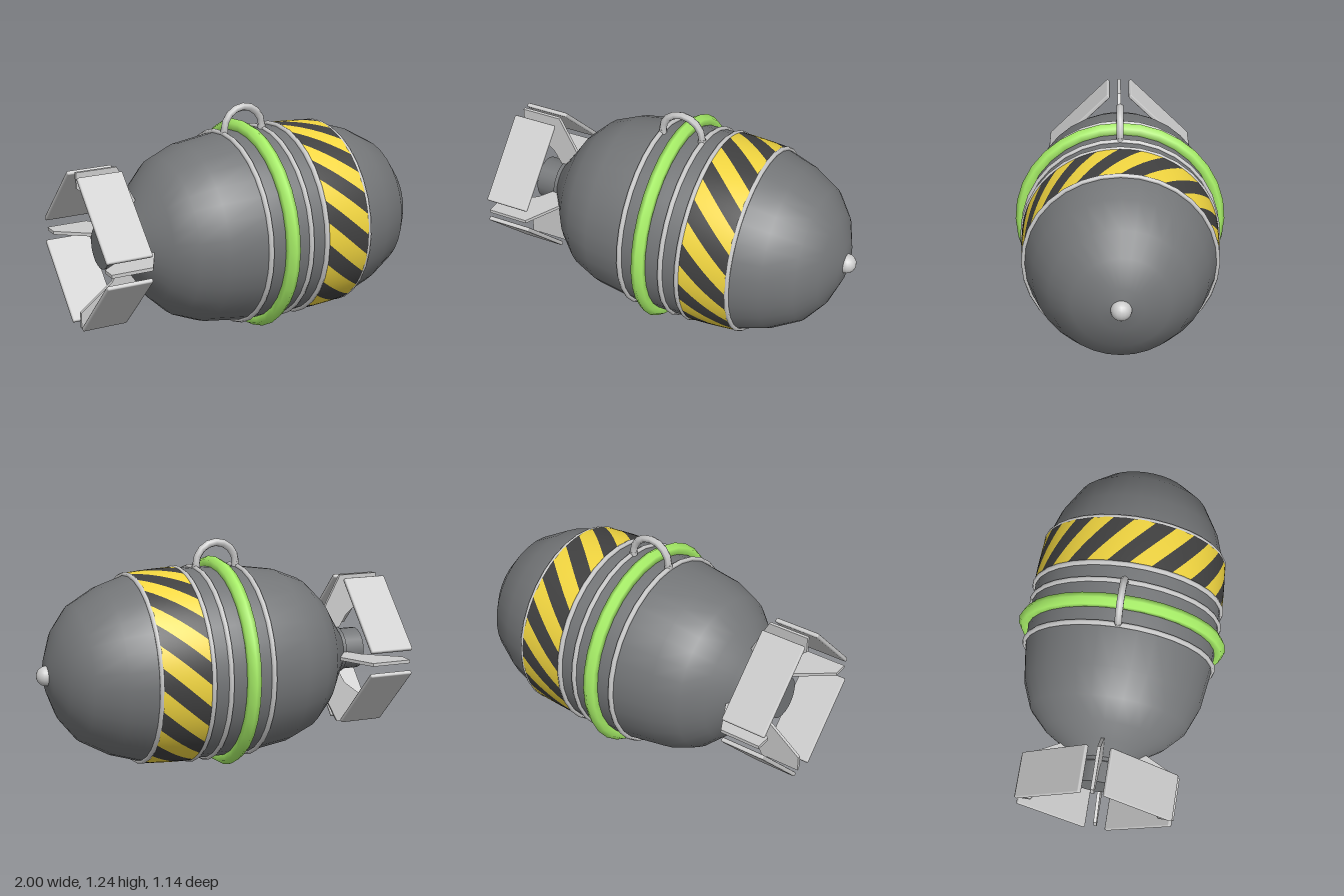
import * as THREE from 'three';
import { mergeGeometries } from 'three/addons/utils/BufferGeometryUtils.js';
import { RoundedBoxGeometry } from 'three/addons/geometries/RoundedBoxGeometry.js';
import { ParametricGeometry } from 'three/addons/geometries/ParametricGeometry.js';

const AXIS_Y = 0.573;
const SIDES = 32;

export function createModel() {
  const model = new THREE.Group();
  const bomb = new THREE.Group();
  bomb.name = 'bomb';
  bomb.position.y = AXIS_Y;
  model.add(bomb);

  const grey = new THREE.MeshStandardMaterial({ color: 0xcccccc });
  const shell = new THREE.MeshStandardMaterial({ color: 0x747678 });
  const green = new THREE.MeshStandardMaterial({ color: 0xa8f068 });
  const yellow = new THREE.MeshStandardMaterial({ color: 0xf2d640, side: THREE.DoubleSide });
  const black = new THREE.MeshStandardMaterial({ color: 0x404040, side: THREE.DoubleSide });

  const add = (name, geometry, material, parent = bomb) => {
    const mesh = new THREE.Mesh(geometry, material);
    mesh.name = name;
    parent.add(mesh);
    return mesh;
  };

  // Egg-shaped body, turned about the x axis: [x, radius] from tail to nose
  const profile = [
    [-0.73, 0.125], [-0.66, 0.225], [-0.59, 0.33], [-0.49, 0.425], [-0.35, 0.482],
    [-0.13, 0.514], [0.05, 0.519], [0.21, 0.517], [0.34, 0.513], [0.48, 0.499],
    [0.635, 0.45], [0.79, 0.363], [0.88, 0.25], [0.935, 0.115], [0.95, 0],
  ].map(([x, r]) => new THREE.Vector2(r, x));
  add('body', new THREE.LatheGeometry(profile, SIDES).rotateZ(-Math.PI / 2), shell);

  // Nose button
  add('noseButton', new THREE.SphereGeometry(0.053, 16, 12), grey).position.x = 0.945;

  // Tail stub with a collar
  add('tailStub', new THREE.CylinderGeometry(0.115, 0.115, 0.16, 20).rotateZ(Math.PI / 2), shell).position.x = -0.78;
  add('tailCollar', new THREE.CylinderGeometry(0.13, 0.13, 0.025, 20).rotateZ(Math.PI / 2), shell).position.x = -0.735;

  // Rings round the body
  const ring = (name, x, radius, tube, material) => {
    const geometry = new THREE.TorusGeometry(radius, tube, 6, SIDES).rotateY(Math.PI / 2);
    add(name, geometry, material).position.x = x;
  };
  ring('rearRing', -0.13, 0.518, 0.014, grey);
  ring('middleRing', 0.11, 0.52, 0.014, grey);
  ring('bandRearRing', 0.205, 0.521, 0.014, grey);
  ring('bandFrontRing', 0.478, 0.502, 0.013, grey);
  ring('greenRing', -0.01, 0.534, 0.038, green);

  // Hazard band: alternating slanted patches wound round the body
  const STRIPES = 14;
  const step = (Math.PI * 2) / STRIPES;
  const stripes = (offset) => {
    const patches = [];
    for (let i = 0; i < STRIPES; i++) {
      const start = (i + offset) * step;
      patches.push(new ParametricGeometry((u, v, p) => {
        const a = start + (u * step) / 2 + v * 0.45;
        const r = 0.525 - 0.004 * v - 0.011 * v * v;
        p.set(0.21 + 0.265 * v, r * Math.cos(a), r * Math.sin(a));
      }, 4, 6));
    }
    return mergeGeometries(patches);
  };
  add('yellowStripes', stripes(0), yellow);
  add('blackStripes', stripes(0.5), black);

  // Carrying handle on top
  const handle = add('handle', new THREE.TorusGeometry(0.114, 0.021, 6, 8, Math.PI), grey);
  handle.position.set(-0.01, 0.537, 0);
  for (const side of [-1, 1]) {
    const foot = add('handleFoot', new THREE.CylinderGeometry(0.021, 0.021, 0.05, 6), grey);
    foot.position.set(-0.01 + side * 0.114, 0.515, 0);
  }

  // Tail: four radial fins with slanted panels between them
  const outline = new THREE.Shape([
    [-0.64, 0.2], [-0.755, 0.424], [-0.98, 0.424], [-0.98, 0.34], [-0.8, 0.2], [-0.74, 0.1], [-0.68, 0.1],
  ].map(([x, y]) => new THREE.Vector2(x, y)));
  const finGeometry = new THREE.ExtrudeGeometry(outline, { depth: 0.018, bevelEnabled: false });
  finGeometry.translate(0, 0, -0.009);
  const panelGeometry = new RoundedBoxGeometry(0.25, 0.024, 0.495, 1, 0.008);
  panelGeometry.translate(-0.875, 0.333, 0);
  for (let i = 0; i < 4; i++) {
    add('tailFin', finGeometry, grey).rotation.x = (i * Math.PI) / 2;
    add('tailPanel', panelGeometry, grey).rotation.x = ((i + 0.5) * Math.PI) / 2;
  }

  return model;
}
